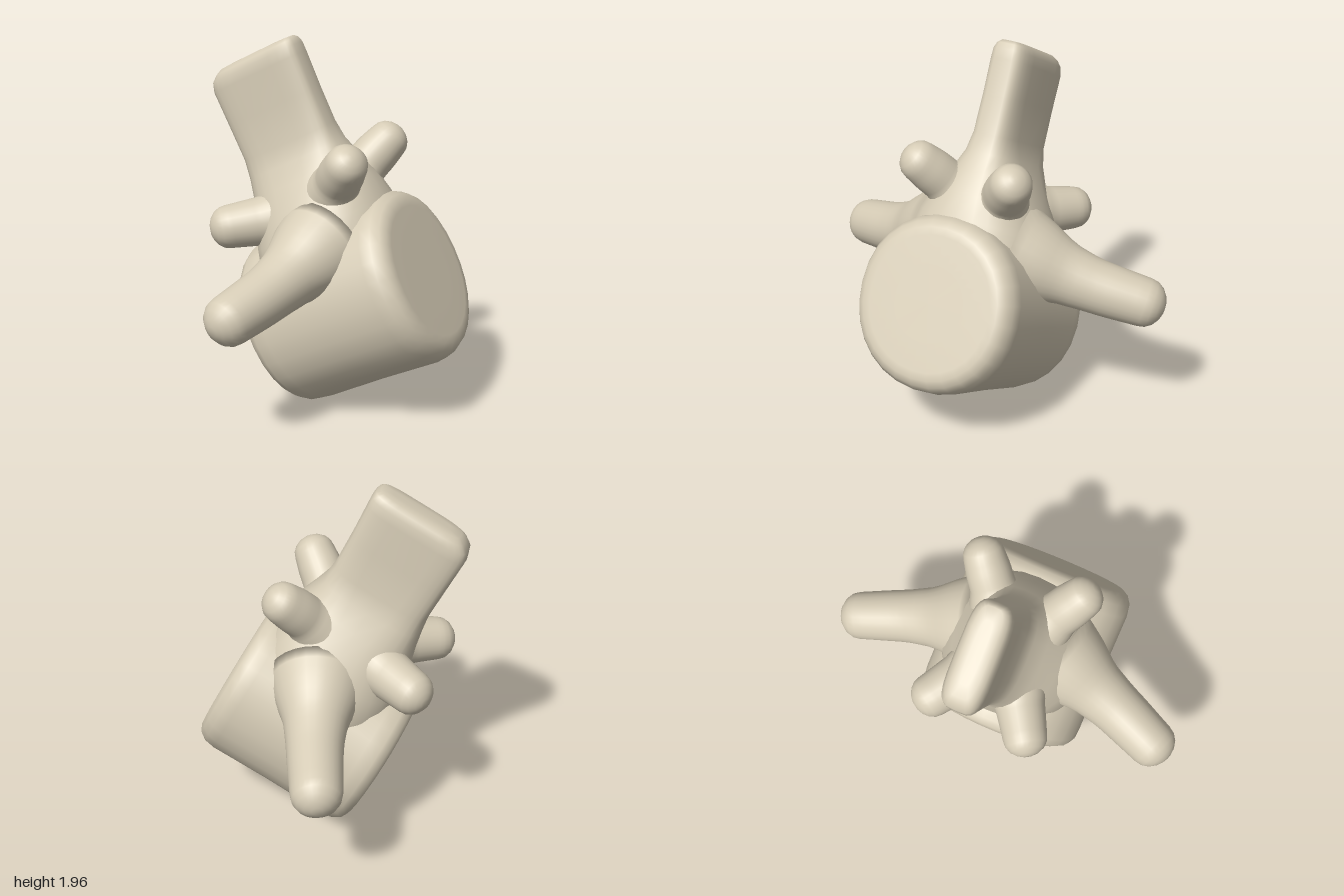
import * as THREE from 'three';

const SIDES = 28;
const TILT = THREE.MathUtils.degToRad(27);
const V = (x, y, z) => new THREE.Vector3(x, y, z);

// Superellipse ring around c, in the plane of ax and ay
function ring(c, ax, ay, ra, rb, n = 2) {
  const pts = [];
  for (let i = 0; i < SIDES; i++) {
    const t = (i / SIDES) * Math.PI * 2;
    const p = Math.cos(t), q = Math.sin(t);
    pts.push(c.clone()
      .addScaledVector(ax, Math.sign(p) * Math.abs(p) ** (2 / n) * ra)
      .addScaledVector(ay, Math.sign(q) * Math.abs(q) ** (2 / n) * rb));
  }
  return pts;
}

// Smooth closed skin through rings that advance along ax cross ay
function loft(rings) {
  const pos = [], index = [], last = (rings.length - 1) * SIDES;
  const center = (r) => r.reduce((s, p) => s.add(p), V(0, 0, 0)).divideScalar(SIDES);
  for (const r of rings) for (const p of r) pos.push(p.x, p.y, p.z);
  pos.push(...center(rings[0]).toArray(), ...center(rings[rings.length - 1]).toArray());
  const start = rings.length * SIDES;
  for (let i = 0; i < SIDES; i++) {
    const j = (i + 1) % SIDES;
    for (let k = 0; k < last; k += SIDES) {
      index.push(k + i, k + j, k + SIDES + j, k + i, k + SIDES + j, k + SIDES + i);
    }
    index.push(start, j, i, start + 1, last + i, last + j);
  }
  const g = new THREE.BufferGeometry();
  g.setAttribute('position', new THREE.Float32BufferAttribute(pos, 3));
  g.setIndex(index);
  g.computeVertexNormals();
  return g;
}

// Round-tipped limb along a curve; radii run evenly from root to tip
function limb(points, radii) {
  const curve = new THREE.CatmullRomCurve3(points);
  const steps = 14, rings = [];
  const frame = (t) => {
    const d = curve.getTangentAt(t);
    const ax = V(0, 1, 0).cross(d).normalize();
    return [d, ax, d.clone().cross(ax)];
  };
  const radiusAt = (t) => {
    const f = t * (radii.length - 1), i = Math.min(Math.floor(f), radii.length - 2);
    return THREE.MathUtils.lerp(radii[i], radii[i + 1], f - i);
  };
  for (let i = 0; i <= steps; i++) {
    const [, ax, ay] = frame(i / steps), r = radiusAt(i / steps);
    rings.push(ring(curve.getPointAt(i / steps), ax, ay, r, r));
  }
  const [d, ax, ay] = frame(1), r = radii[radii.length - 1];
  for (const a of [0.35, 0.7, 1.05, 1.35]) {
    const c = points[points.length - 1].clone().addScaledVector(d, Math.sin(a) * r * 0.85);
    rings.push(ring(c, ax, ay, r * Math.cos(a), r * Math.cos(a)));
  }
  return loft(rings);
}

export function createModel() {
  const root = new THREE.Group();
  root.name = 'vertebra';
  const bone = new THREE.MeshStandardMaterial({ color: 0xd6ccb6 });
  bone.name = 'bone';
  const add = (parent, name, geometry) => {
    const mesh = new THREE.Mesh(geometry, bone);
    mesh.name = name;
    parent.add(mesh);
  };

  const core = new THREE.Group();
  core.name = 'tiltedCore';
  core.rotation.z = TILT;
  root.add(core);

  // Drum-shaped body: [position along axis, radius]
  const drum = [
    [-0.075, 0.2], [-0.075, 0.36], [-0.07, 0.4], [-0.05, 0.435], [-0.01, 0.457], [0.06, 0.462],
    [0.4, 0.458], [0.73, 0.462], [0.79, 0.452], [0.83, 0.425], [0.85, 0.39], [0.853, 0.35], [0.853, 0.2],
  ];
  add(core, 'vertebralBody', loft(drum.map(([a, r]) =>
    ring(V(a, 0.5, 0), V(0, 1, 0), V(0, 0, 1), r, r, 2.1))));

  // Arch narrowing into the flat spine: [height, low edge, high edge, half thickness, squareness]
  const arch = [
    [0.6, -0.02, 0.8, 0.42, 2.2], [0.82, 0.0, 0.8, 0.41, 2.2], [0.95, 0.03, 0.79, 0.37, 2.2],
    [1.08, 0.08, 0.77, 0.29, 2.3], [1.2, 0.11, 0.73, 0.21, 2.5], [1.3, 0.13, 0.7, 0.15, 3],
    [1.4, 0.145, 0.69, 0.118, 3.6], [1.6, 0.147, 0.695, 0.108, 4], [1.79, 0.148, 0.705, 0.108, 4],
    [1.84, 0.165, 0.707, 0.104, 4], [1.87, 0.2, 0.7, 0.09, 4], [1.888, 0.235, 0.685, 0.065, 4],
    [1.892, 0.3, 0.62, 0.03, 4],
  ];
  add(core, 'archAndSpinousProcess', loft(arch.map(([u, lo, hi, hz, n]) =>
    ring(V((lo + hi) / 2, u, 0), V(0, 0, 1), V(1, 0, 0), hz, (hi - lo) / 2, n))));

  // Paired processes, mirrored front to back
  for (const [side, s] of [['left', 1], ['right', -1]].map(([, k]) => [k > 0 ? 'front' : 'back', k])) {
    add(root, side + 'TransverseProcess', limb(
      [V(0.02, 0.96, s * 0.2), V(-0.03, 0.89, s * 0.4), V(-0.09, 0.82, s * 0.62), V(-0.175, 0.755, s * 0.87)],
      [0.26, 0.22, 0.165, 0.145, 0.138, 0.13]));
    add(root, side + 'UpperArticularProcess', limb(
      [V(0.02, 1.18, s * 0.1), V(0.1, 1.31, s * 0.19), V(0.185, 1.425, s * 0.275)],
      [0.19, 0.15, 0.12, 0.118, 0.108]));
    add(root, side + 'LowerArticularProcess', limb(
      [V(-0.22, 1.05, s * 0.08), V(-0.36, 1.03, s * 0.18), V(-0.495, 1.01, s * 0.27)],
      [0.2, 0.155, 0.13, 0.122, 0.115]));
  }
  return root;
}
